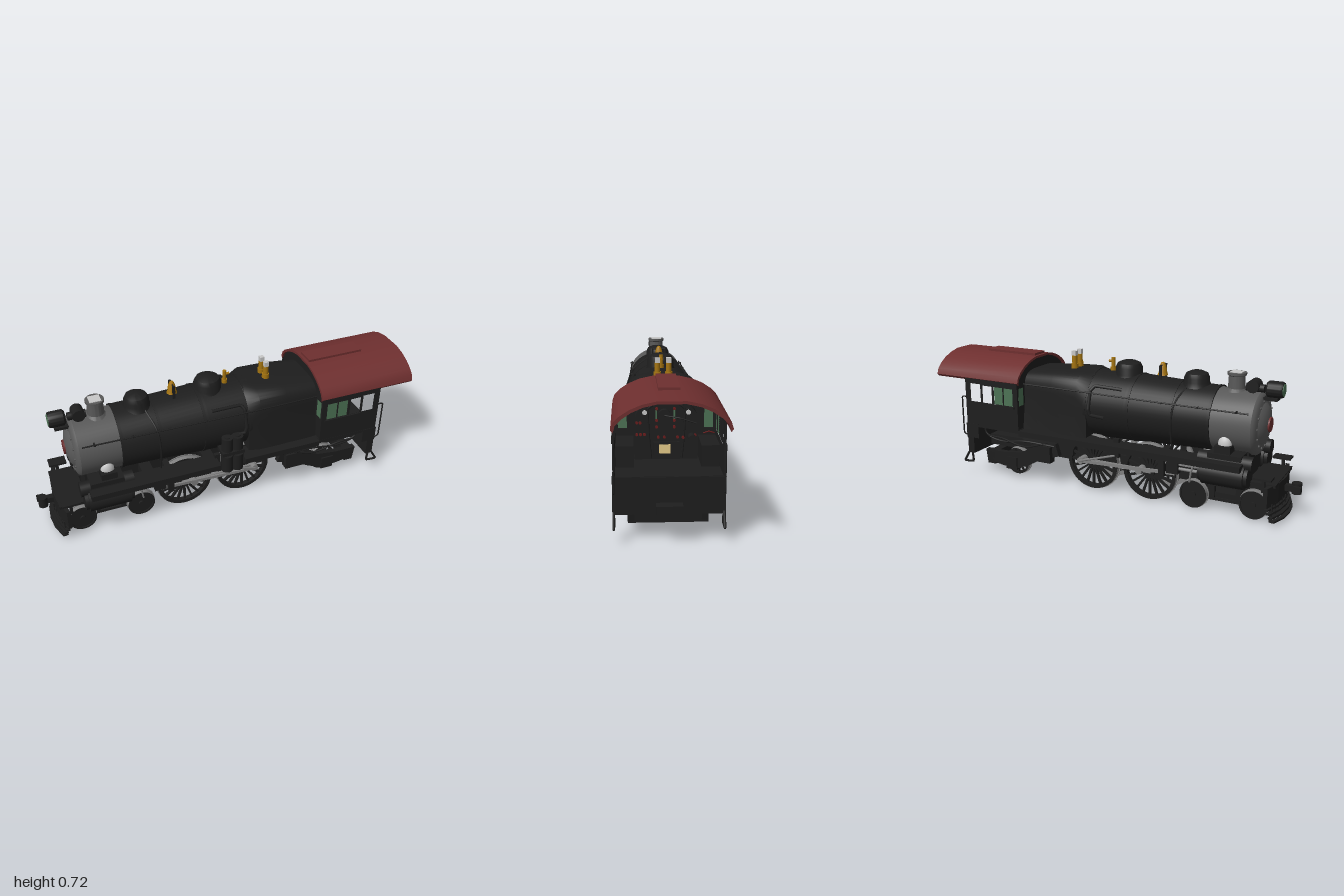
import * as THREE from 'three';
import { mergeGeometries, toCreasedNormals } from 'three/addons/utils/BufferGeometryUtils.js';

const mat = (name, color) => Object.assign(new THREE.MeshStandardMaterial({ color }), { name });
const black = mat('black paint', 0x1e1e1e), graphite = mat('graphite grey', 0x585858), red = mat('roof red', 0x6e2f2f);
const green = mat('green glass', 0x4d7355), brass = mat('brass', 0xa47410), steel = mat('steel', 0x808080);
const pale = mat('pale grey', 0xc8c8c8), tan = mat('fire door tan', 0xf2d690), crimson = mat('valve red', 0x6a1c1c);

export function createModel() {
  const model = new THREE.Group();
  model.name = 'steamLocomotive';
  const V = (x, y, z) => new THREE.Vector3(x, y, z);
  const add = (name, geo, m, x = 0, y = 0, z = 0, parent = model) => {
    const mesh = new THREE.Mesh(geo, m);
    mesh.name = name;
    mesh.position.set(x, y, z);
    parent.add(mesh);
    return mesh;
  };
  // box given by its limits
  const box = (name, m, x0, x1, y0, y1, z0, z1) =>
    add(name, new THREE.BoxGeometry(x1 - x0, y1 - y0, Math.abs(z1 - z0)), m, (x0 + x1) / 2, (y0 + y1) / 2, (z0 + z1) / 2);
  // cylinder along a chosen axis, centred on a point
  const cyl = (name, m, axis, r, len, x, y, z, parent, seg = 28) => {
    const g = new THREE.CylinderGeometry(r, r, len, seg);
    if (axis === 'x') g.rotateZ(-Math.PI / 2);
    if (axis === 'z') g.rotateX(Math.PI / 2);
    return add(name, g, m, x, y, z, parent);
  };
  const lathe = (pts, seg = 40) => toCreasedNormals(new THREE.LatheGeometry(pts.map(p => new THREE.Vector2(...p)), seg), 0.6);
  const latheX = (name, m, pts, y) => add(name, lathe(pts, 48).rotateZ(-Math.PI / 2), m, 0, y);
  const tube = (name, m, r, pts, tension = 0.1) =>
    add(name, new THREE.TubeGeometry(new THREE.CatmullRomCurve3(pts.map(p => V(...p)), false, 'catmullrom', tension), pts.length * 8, r, 6), m);
  const poly = pts => new THREE.Shape(pts.map(p => new THREE.Vector2(...p)));
  const rect = (x0, x1, y0, y1) => poly([[x0, y0], [x0, y1], [x1, y1], [x1, y0]]);
  const extrude = (shape, depth) => new THREE.ExtrudeGeometry(shape, { depth, bevelEnabled: false, curveSegments: 24 });
  const both = fn => [1, -1].forEach(fn);

  // Boiler barrel, smokebox and front door
  const by = 0.452;
  latheX('smokebox', graphite, [[0, -0.795], [0.13, -0.795], [0.15, -0.785], [0.157, -0.775], [0.157, -0.565], [0, -0.565]], by);
  latheX('smokeboxDoor', graphite, [[0, -0.825], [0.04, -0.822], [0.085, -0.81], [0.105, -0.794], [0, -0.794]], by);
  cyl('frontPlate', red, 'x', 0.036, 0.008, -0.827, by, 0);
  latheX('boilerBarrel', black, [[0, -0.568], [0.162, -0.568], [0.166, -0.4], [0.178, -0.12], [0.182, 0.14], [0, 0.14]], by);
  [[-0.565, 0.165], [-0.37, 0.17], [-0.14, 0.18], [0.1, 0.184]].forEach(([x, r]) => cyl('boilerBand', black, 'x', r, 0.014, x, by, 0, model, 48));
  for (let i = 0; i < 14; i++) {
    const a = i / 14 * Math.PI * 2;
    cyl('doorBolt', graphite, 'x', 0.006, 0.012, -0.795, by + 0.12 * Math.sin(a), 0.12 * Math.cos(a), model, 6);
  }

  // Square-topped firebox blended from the barrel, stepping in to the boiler back inside the cab
  const rings = [[0.09, 0.18, 0.632, 0.30, 0.18, 2.1], [0.15, 0.185, 0.632, 0.285, 0.195, 3.6], [0.3, 0.18, 0.624, 0.24, 0.2, 4.2],
    [0.473, 0.168, 0.61, 0.24, 0.2, 4.2], [0.474, 0.145, 0.565, 0.3, 0.145, 3.2], [0.56, 0.145, 0.565, 0.3, 0.145, 3.2]];
  const N = 24, verts = [], faces = [];
  rings.forEach(([x, w, top, bottom, wb, n]) => {
    for (let i = 0; i <= N; i++) {
      const c = Math.cos(i / N * Math.PI), s = Math.sin(i / N * Math.PI);
      verts.push(x, by + (top - by) * Math.pow(Math.abs(s), 2 / n), w * Math.sign(c) * Math.pow(Math.abs(c), 2 / n));
    }
    verts.push(x, bottom, -wb, x, bottom, wb);
  });
  const M = N + 3, last = (rings.length - 1) * M;
  for (let r = 0; r < rings.length - 1; r++) for (let i = 0; i < M; i++) {
    const a = r * M + i, b = r * M + (i + 1) % M;
    faces.push(a, a + M, b, b, a + M, b + M);
  }
  for (let i = 1; i < M - 1; i++) faces.push(0, i, i + 1, last, last + i + 1, last + i);
  const fire = new THREE.BufferGeometry();
  fire.setAttribute('position', new THREE.Float32BufferAttribute(verts, 3));
  fire.setIndex(faces);
  add('firebox', toCreasedNormals(fire, 0.5), black);

  // Chimney, domes, bell, valves and headlight
  add('chimney', lathe([[0, 0.58], [0.055, 0.6], [0.042, 0.615], [0.04, 0.675], [0.047, 0.68], [0.047, 0.692], [0, 0.692]]), graphite, -0.65);
  box('chimneyCap', pale, -0.679, -0.621, 0.688, 0.695, -0.029, 0.029);
  const dome = (name, x, r, top) =>
    add(name, lathe([[0, 0.58], [r + 0.012, 0.6], [r, 0.625], [r, top - 0.035], [r * 0.85, top - 0.014], [r * 0.5, top - 0.003], [0, top]]), black, x);
  dome('sandDome', -0.445, 0.064, 0.68);
  dome('steamDome', -0.07, 0.07, 0.695);
  add('bell', lathe([[0, 0.637], [0.027, 0.637], [0.022, 0.65], [0.018, 0.68], [0.01, 0.699], [0, 0.704]], 20), brass, -0.26);
  both(s => box('bellBracket', black, -0.267, -0.253, 0.61, 0.69, s * 0.03, s * 0.036));
  cyl('bellYoke', black, 'z', 0.004, 0.072, -0.26, 0.688, 0, model, 8);
  cyl('whistle', brass, 'y', 0.01, 0.07, 0.022, 0.665, 0);
  cyl('whistleBase', brass, 'y', 0.015, 0.02, 0.022, 0.64, 0);
  cyl('whistleArm', brass, 'x', 0.007, 0.03, 0.032, 0.68, 0);
  both(s => {
    cyl('safetyValve', brass, 'y', 0.014, 0.07, 0.24, 0.66, s * 0.028);
    cyl('safetyValveBase', brass, 'y', 0.019, 0.025, 0.24, 0.638, s * 0.028);
    box('safetyValveCap', pale, 0.228, 0.252, 0.695, 0.72, s * 0.016, s * 0.04);
  });
  latheX('headlight', black, [[0, -0.882], [0.036, -0.882], [0.04, -0.872], [0.04, -0.81], [0.03, -0.8], [0, -0.8]], 0.627);
  cyl('headlightLens', green, 'x', 0.03, 0.004, -0.883, 0.627, 0);
  box('headlightBracket', black, -0.86, -0.76, 0.575, 0.588, -0.03, 0.03);
  cyl('generator', black, 'z', 0.031, 0.07, -0.738, 0.635, 0);
  cyl('generatorCore', black, 'x', 0.02, 0.09, -0.745, 0.625, 0);

  // Frame, ash pan and cylinder saddle
  both(s => box('mainFrame', black, -0.88, 0.5, 0.13, 0.2, s * 0.06, s * 0.085));
  [-0.82, -0.42, -0.08, 0.3].forEach(x => box('frameStretcher', black, x - 0.03, x + 0.03, 0.14, 0.2, -0.08, 0.08));
  box('ashPan', black, 0.2, 0.5, 0.17, 0.28, -0.13, 0.13);
  box('cylinderSaddle', black, -0.76, -0.57, 0.17, 0.34, -0.1, 0.1);

  // Spoked or solid wheel facing outwards on side s
  const wheel = (name, x, r, s, spokes) => {
    const g = new THREE.Group();
    g.name = name;
    g.position.set(x, r + 0.004, s * 0.115);
    if (s < 0) g.rotation.y = Math.PI;
    model.add(g);
    const annulus = (outer, inner) => {
      const a = new THREE.Shape().absarc(0, 0, outer, 0, Math.PI * 2);
      a.holes.push(new THREE.Path().absarc(0, 0, inner, 0, Math.PI * 2, true));
      return a;
    };
    add('rim', extrude(annulus(r * 0.98, r * 0.85), 0.026), black, 0, 0, -0.012, g);
    add('flange', extrude(annulus(r + 0.003, r * 0.86), 0.005), steel, 0, 0, -0.015, g);
    const t = new THREE.CylinderGeometry(r * 0.985, r * 0.985, 0.024, 40, 1, true).rotateX(Math.PI / 2);
    add('tyreTread', t, steel, 0, 0, 0.002, g);
    cyl('hub', black, 'z', r * 0.2, 0.036, 0, 0, 0, g);
    if (!spokes) return cyl('disc', black, 'z', r * 0.88, 0.016, 0, 0, 0, g);
    const bars = [];
    for (let i = 0; i < spokes; i++)
      bars.push(new THREE.BoxGeometry(r * 0.75, r * 0.07, 0.014).translate(r * 0.5, 0, 0).rotateZ(i / spokes * Math.PI * 2));
    add('spokes', mergeGeometries(bars), black, 0, 0, 0, g);
    if (r > 0.1) {
      const w = new THREE.Shape().absarc(0, 0, r * 0.88, Math.PI * 0.33, Math.PI * 0.67);
      add('counterweight', extrude(w, 0.018), black, 0, 0, -0.008, g);
    }
  };
  both(s => {
    [-0.25, 0.08].forEach(x => wheel('drivingWheel', x, 0.15, s, 20));
    [-0.8, -0.49].forEach(x => wheel('leadingWheel', x, 0.073, s, 0));
    wheel('trailingWheel', 0.565, 0.076, s, 12);
  });
  [[-0.25, 0.154], [0.08, 0.154], [-0.8, 0.077], [-0.49, 0.077], [0.565, 0.08]].forEach(([x, y]) => cyl('axle', black, 'z', 0.017, 0.24, x, y, 0));

  both(s => {
    // Cylinders, valve chest and motion
    cyl('cylinder', black, 'x', 0.062, 0.21, -0.665, 0.23, s * 0.17);
    cyl('cylinderCover', black, 'x', 0.05, 0.245, -0.665, 0.23, s * 0.17);
    cyl('valveChest', black, 'x', 0.038, 0.27, -0.665, 0.29, s * 0.155);
    box('cylinderCasing', black, -0.75, -0.58, 0.22, 0.33, s * 0.08, s * 0.19);
    add('steamPipeCover', new THREE.SphereGeometry(0.034, 20, 14).scale(1, 1.3, 0.8), pale, -0.65, 0.366, s * 0.138);
    box('steamPipeFlange', black, -0.69, -0.61, 0.32, 0.365, s * 0.11, s * 0.18);
    cyl('pistonRod', steel, 'x', 0.008, 0.2, -0.48, 0.215, s * 0.17);
    [0.235, 0.262].forEach(y => box('slideBar', steel, -0.56, -0.33, y, y + 0.008, s * 0.16, s * 0.18));
    box('crosshead', black, -0.43, -0.37, 0.19, 0.255, s * 0.15, s * 0.19);
    const rod = box('mainRod', steel, -0.41, 0.13, 0.168, 0.184, s * 0.166, s * 0.177);
    rod.rotation.z = -0.04;
    box('sideRod', steel, -0.27, 0.15, 0.157, 0.176, s * 0.144, s * 0.156);
    [-0.21, 0.13].forEach(x => cyl('crankPin', steel, 'z', 0.018, 0.06, x, 0.167, s * 0.148));
    box('motionBracket', black, -0.36, -0.33, 0.17, 0.3, s * 0.09, s * 0.2);
    box('motionFrame', black, -0.36, -0.06, 0.255, 0.275, s * 0.185, s * 0.2);
    box('radiusRod', steel, -0.53, -0.09, 0.28, 0.288, s * 0.165, s * 0.175);
    box('valveLink', black, -0.1, -0.07, 0.22, 0.32, s * 0.16, s * 0.18);
    tube('eccentricRod', steel, 0.006, [[-0.08, 0.23, s * 0.18], [0.02, 0.2, s * 0.18], [0.13, 0.168, s * 0.18]]);
    tube('combinationLever', steel, 0.005, [[-0.52, 0.28, s * 0.18], [-0.5, 0.22, s * 0.185], [-0.49, 0.16, s * 0.18]]);

    // Running boards, handrails and pipes
    (s > 0 ? [[-0.76, -0.09], [0.045, 0.47]] : [[-0.76, 0.47]]).forEach(([x0, x1]) =>
      box('runningBoard', black, x0, x1, 0.27, 0.3, s * 0.14, s * 0.245));
    tube('handrail', black, 0.004, [[-0.76, 0.53, s * 0.145], [-0.3, 0.535, s * 0.16], [0.12, 0.545, s * 0.183], [0.47, 0.545, s * 0.18]]);
    for (let x = -0.7; x < 0.1; x += 0.19) cyl('handrailPost', black, 'z', 0.005, 0.03, x, 0.532, s * 0.142, model, 8);
    tube('sandPipe', black, 0.005, [[-0.42, 0.61, s * 0.06], [-0.39, 0.54, s * 0.148], [-0.38, 0.44, s * 0.17], [-0.38, 0.3, s * 0.15]], 0.5);
    tube('steamPipe', black, 0.009, [[-0.1, 0.57, s * 0.14], [0.05, 0.575, s * 0.147], [0.07, 0.55, s * 0.165], [0.07, 0.46, s * 0.19], [0.06, 0.43, s * 0.19], [-0.02, 0.425, s * 0.19]]);

    // Leading and trailing truck side frames
    [0.05, 0.125].forEach(y => box('leadingTruckBar', black, -0.8, -0.49, y, y + 0.014, s * 0.075, s * 0.09));
    [-0.715, -0.575].forEach(x => box('leadingTruckPost', black, x - 0.015, x + 0.015, 0.05, 0.14, s * 0.07, s * 0.09));
    const side = poly([[0.26, 0.17], [0.38, 0.13], [0.45, 0.09], [0.52, 0.06], [0.62, 0.06], [0.68, 0.07], [0.73, 0.07], [0.74, 0.14], [0.62, 0.14], [0.5, 0.155], [0.42, 0.2], [0.28, 0.235]]);
    add('trailingTruckFrame', extrude(side, 0.03), black, 0, 0, s * 0.165 - 0.015);
    box('trailingAxleBox', black, 0.53, 0.6, 0.05, 0.12, s * 0.15, s * 0.188);
    [0, 0.03].forEach(d => tube('injectorPipe', black, 0.005, [[0.28, 0.225 + d, s * 0.19], [0.45, 0.235 - d, s * 0.21], [0.6, 0.215 + d * 0.5, s * 0.21], [0.7, 0.24, s * 0.21], [0.72, 0.3, s * 0.21]], 0.5));
    box('injector', black, 0.3, 0.41, 0.13, 0.22, s * 0.16, s * 0.205);
  });
  box('trailingTruckBeam', black, 0.68, 0.73, 0.06, 0.13, -0.18, 0.18);
  box('leadingTruckBolster', black, -0.72, -0.57, 0.06, 0.09, -0.08, 0.08);

  // Twin air pump on one side
  [-0.042, 0.014].forEach(x => {
    cyl('airPumpTop', black, 'y', 0.029, 0.075, x, 0.398, 0.205);
    cyl('airPumpWaist', black, 'y', 0.014, 0.2, x, 0.34, 0.205);
    cyl('airPumpBottom', black, 'y', 0.031, 0.095, x, 0.28, 0.205);
  });
  box('airPumpBracket', black, -0.075, 0.045, 0.335, 0.355, 0.15, 0.23);

  // Bowed pilot beam, slats and coupler
  const bow = (name, dx, y, h, w) => {
    const s = poly([[-0.94 + dx, 0], [-0.932 + dx, w * 0.5], [-0.905 + dx, w], [-0.885 + dx, w], [-0.912 + dx, w * 0.5], [-0.92 + dx, 0], [-0.912 + dx, -w * 0.5], [-0.885 + dx, -w], [-0.905 + dx, -w], [-0.932 + dx, -w * 0.5]]);
    add(name, extrude(s, h).rotateX(-Math.PI / 2), black, 0, y, 0);
  };
  bow('pilotBeam', 0.02, 0.1, 0.1, 0.195);
  for (let i = 0; i < 4; i++) bow('pilotSlat', -0.01 + 0.009 * i, 0.018 + i * 0.021, 0.009, 0.16 + i * 0.008);
  for (let i = -4; i <= 4; i++) box('pilotUpright', black, -0.925 + Math.abs(i) * 0.006, -0.912 + Math.abs(i) * 0.006, 0.018, 0.11, i * 0.038 - 0.004, i * 0.038 + 0.004);
  box('pilotDeck', black, -0.91, -0.77, 0.19, 0.205, -0.15, 0.15);
  both(s => {
    box('pilotStep', black, -0.9, -0.81, 0.235, 0.245, s * 0.14, s * 0.2);
    box('pilotStepPost', black, -0.865, -0.85, 0.17, 0.24, s * 0.165, s * 0.18);
  });
  box('couplerShank', black, -0.97, -0.89, 0.135, 0.165, -0.016, 0.016);
  cyl('couplerKnuckle', black, 'y', 0.024, 0.055, -0.973, 0.15, 0.008);
  box('couplerJaw', black, -1, -0.965, 0.132, 0.168, -0.03, -0.016);

  // Cab sides with window openings
  both(s => {
    const wall = rect(0.47, 0.81, 0.3, 0.565);
    wall.holes.push(rect(0.5, 0.62, 0.43, 0.525), rect(0.635, 0.695, 0.43, 0.525), rect(0.71, 0.775, 0.43, 0.53));
    add('cabSide', extrude(wall, 0.01), black, 0, 0, s * 0.238 - 0.005);
    box('sideWindow', green, 0.5, 0.62, 0.43, 0.525, s * 0.235, s * 0.241);
    box('windowPost', black, 0.557, 0.563, 0.43, 0.525, s * 0.232, s * 0.245);
    box('windowSill', black, 0.49, 0.7, 0.418, 0.428, s * 0.24, s * 0.25);
    box('cabSeat', black, 0.5, 0.68, 0.3, 0.4, s * 0.15, s * 0.232);
    box('frontWindow', green, 0.474, 0.48, 0.43, 0.525, s * 0.18, s * 0.222);
    tube('cabHandrail', black, 0.004, [[0.81, 0.45, s * 0.238], [0.84, 0.445, s * 0.238], [0.84, 0.24, s * 0.238], [0.81, 0.23, s * 0.238]]);
    tube('cabStepHanger', black, 0.006, [[0.79, 0.14, s * 0.24], [0.785, 0.08, s * 0.24], [0.845, 0.075, s * 0.24], [0.805, 0.14, s * 0.24]]);
  });
  const arch = [[0.245, 0.555], [0.235, 0.585], [0.21, 0.61], [0.17, 0.636], [0.12, 0.657], [0.06, 0.67]];
  const mirrored = arch.concat(arch.map(([z, y]) => [-z, y]).reverse());
  const front = poly([[0.238, 0.3], ...mirrored.map(([z, y]) => [z * 0.97, y - 0.006]), [-0.238, 0.3]]);
  both(s => front.holes.push(rect(s * 0.201 - 0.021, s * 0.201 + 0.021, 0.43, 0.525)));
  add('cabFront', extrude(front, 0.012).rotateY(Math.PI / 2), black, 0.475);

  // Arched roof with hatch and dark ceiling
  const roof = poly([...mirrored, ...mirrored.map(([z, y]) => [z * 0.96, y - 0.012]).reverse()]);
  add('cabRoof', toCreasedNormals(extrude(roof, 0.535).rotateY(Math.PI / 2), 0.6), red, 0.465, 0.004);
  box('roofHatch', red, 0.48, 0.79, 0.665, 0.686, -0.047, 0.047);
  const ceiling = poly([[0.235, 0.555], ...mirrored.map(([z, y]) => [z * 0.95, y - 0.012]), [-0.235, 0.555], [-0.2, 0.575], [-0.14, 0.605], [0, 0.63], [0.14, 0.605], [0.2, 0.575]]);
  add('cabCeiling', extrude(ceiling, 0.326).rotateY(Math.PI / 2), black, 0.484);

  // Cab floor and rear beam
  box('cabFloor', black, 0.47, 0.81, 0.285, 0.302, -0.244, 0.244);
  box('cabApron', black, 0.735, 0.815, 0.22, 0.3, -0.246, 0.246);
  box('rearBeam', black, 0.77, 0.81, 0.13, 0.225, -0.246, 0.246);
  box('drawbarPocket', black, 0.8, 0.86, 0.143, 0.183, -0.058, 0.058);
  box('rearFrame', black, 0.45, 0.78, 0.14, 0.2, -0.09, 0.09);

  // Boiler back fittings
  box('fireDoor', tan, 0.572, 0.58, 0.335, 0.376, -0.018, 0.033);
  box('fireDoorFrame', black, 0.56, 0.573, 0.325, 0.386, -0.06, 0.06);
  cyl('throttleBoss', black, 'x', 0.028, 0.03, 0.57, 0.513, 0.01);
  tube('throttleLever', black, 0.003, [[0.59, 0.515, 0.01], [0.6, 0.505, -0.06], [0.6, 0.48, -0.135]]);
  both(s => {
    cyl('gaugeCase', black, 'x', 0.015, 0.02, 0.567, 0.527, s * 0.099);
    cyl('gaugeDial', pale, 'x', 0.011, 0.004, 0.579, 0.527, s * 0.099);
    cyl('waterGlass', green, 'y', 0.004, 0.045, 0.57, 0.515, 0.005 + s * 0.041);
    tube('cabPipe', black, 0.005, [[0.57, 0.56, s * 0.06], [0.57, 0.54, s * 0.085], [0.57, 0.42, s * 0.08], [0.57, 0.31, s * 0.07]]);
  });
  const valves = [[0.545, 0.045], [0.545, -0.035], [0.49, 0.045], [0.49, -0.035], [0.46, 0.045], [0.46, -0.035], [0.412, 0.038], [0.412, 0.01], [0.412, -0.05],
    [0.41, -0.075], [0.48, 0.12], [0.48, 0.135], [0.425, 0.1], [0.425, 0.118], [0.425, 0.135], [0.42, -0.13]];
  valves.forEach(([y, z]) => cyl('valveWheel', crimson, 'x', 0.0065, 0.01, 0.58, y, z, model, 12));
  cyl('brakeStand', black, 'x', 0.018, 0.05, 0.59, 0.41, -0.115);
  tube('brakeLever', crimson, 0.003, [[0.6, 0.435, -0.165], [0.6, 0.443, -0.19], [0.6, 0.436, -0.215]]);
  return model;
}
